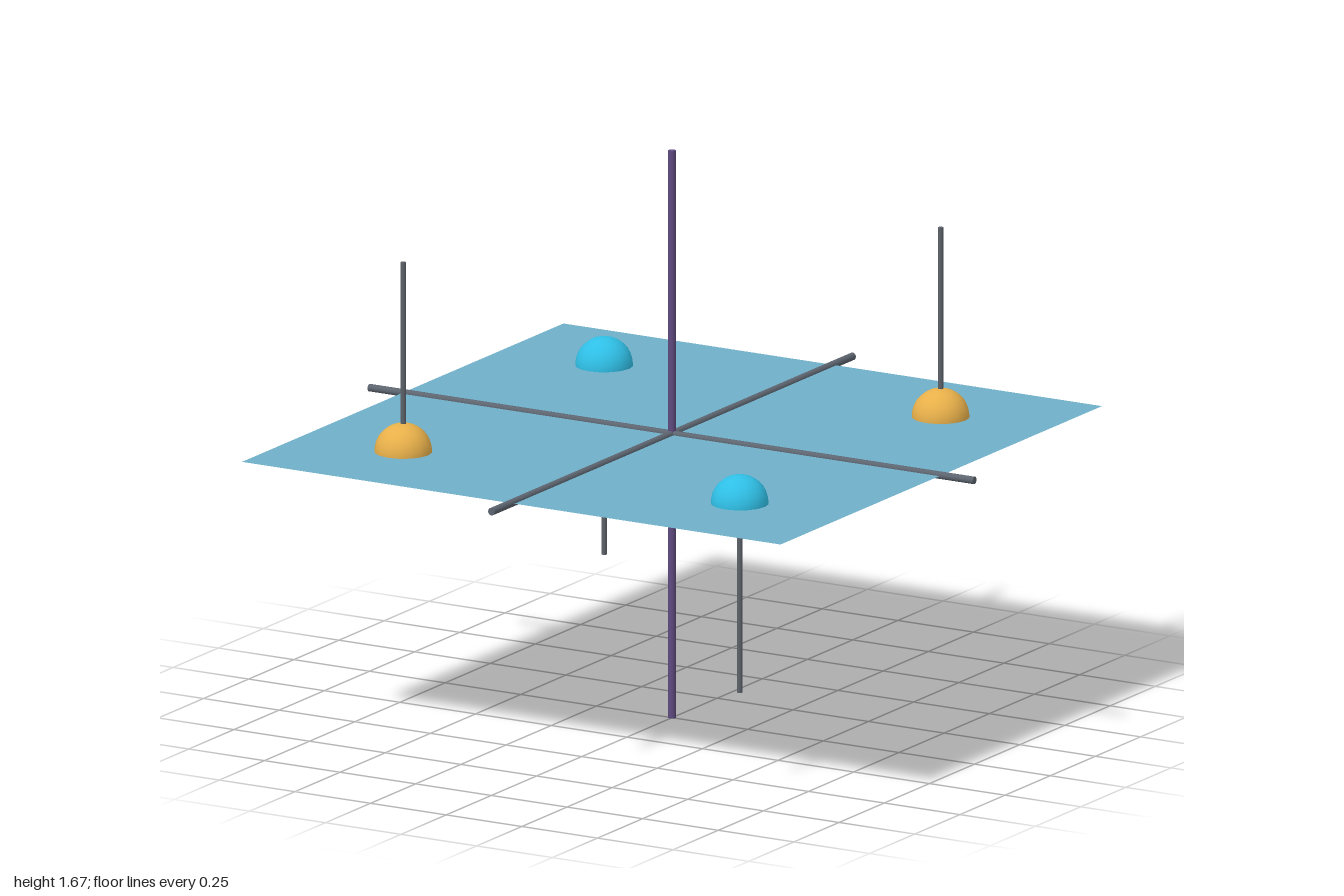
import * as THREE from 'three';

const CENTRE_Y = 0.833;
const OFFSET = 0.556;

export function createModel() {
  const model = new THREE.Group();
  const mat = (color, side = THREE.FrontSide) => new THREE.MeshStandardMaterial({ color, side });
  const slate = mat(0x5d6570);
  const purple = mat(0x5f4b80);
  const stemGrey = mat(0x5d636b);
  const amber = mat(0xe8b04a);
  const cyan = mat(0x2fbfe6);

  function add(name, geometry, material, x = 0, y = 0, z = 0) {
    const mesh = new THREE.Mesh(geometry, material);
    mesh.name = name;
    mesh.position.set(x, CENTRE_Y + y, z);
    model.add(mesh);
    return mesh;
  }

  // Thin horizontal sheet
  add('plane', new THREE.PlaneGeometry(1.78, 1.78).rotateX(-Math.PI / 2), mat(0x6fb0c9, THREE.DoubleSide));

  // Three crossing axis rods
  const rod = (length) => new THREE.CylinderGeometry(0.011, 0.011, length, 12);
  add('axisX', rod(2).rotateZ(Math.PI / 2), slate);
  add('axisZ', rod(2).rotateX(Math.PI / 2), slate);
  add('axisY', rod(CENTRE_Y * 2), purple);

  // One ball per quadrant: amber stems rise, cyan stems hang
  const ball = new THREE.SphereGeometry(0.083, 16, 16);
  const stem = new THREE.CylinderGeometry(0.008, 0.008, OFFSET, 8);
  for (const sx of [-1, 1]) {
    for (const sz of [-1, 1]) {
      const up = sx !== sz;
      const x = sx * OFFSET, z = sz * OFFSET;
      add(up ? 'upperBall' : 'lowerBall', ball, up ? amber : cyan, x, 0, z);
      add(up ? 'upperStem' : 'lowerStem', stem, stemGrey, x, (up ? 1 : -1) * OFFSET / 2, z);
    }
  }
  return model;
}
